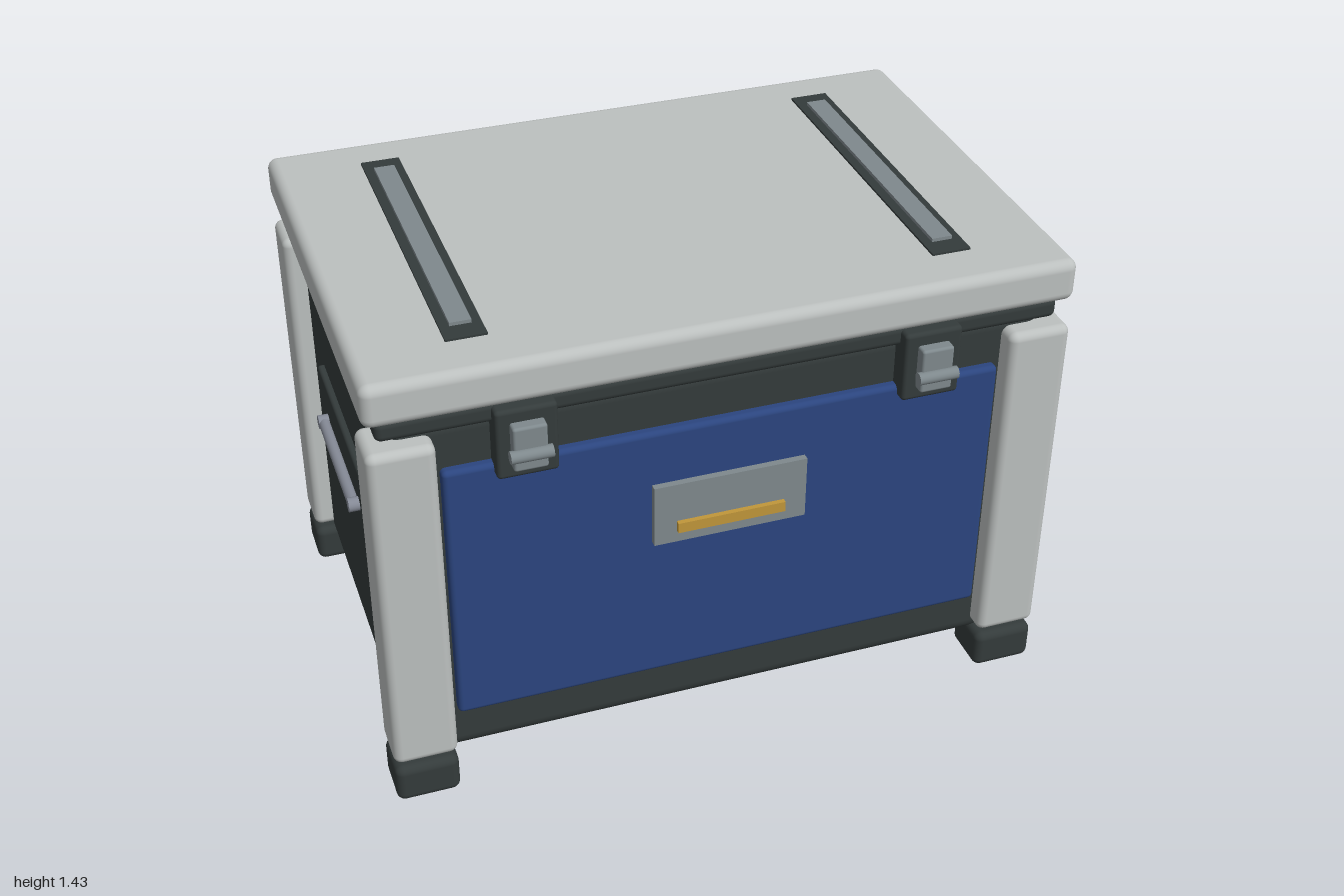
import * as THREE from 'three';
import { RoundedBoxGeometry } from 'three/addons/geometries/RoundedBoxGeometry.js';

const mat = (name, color) => {
  const m = new THREE.MeshStandardMaterial({ color });
  m.name = name;
  return m;
};

export function createModel() {
  const shell = mat('light grey shell', 0xbcc0bf);
  const dark = mat('charcoal', 0x343b3b);
  const blue = mat('blue panel', 0x2b457f);
  const steel = mat('steel', 0x7f898d);
  const handleGrey = mat('handle grey', 0x858a96);
  const gold = mat('gold', 0xc0963a);

  const chest = new THREE.Group();
  chest.name = 'storageChest';
  const zc = -0.027; // the case sits slightly back because the latches stick out in front

  const add = (name, geometry, material, x, y, z, parent = chest) => {
    const mesh = new THREE.Mesh(geometry, material);
    mesh.name = name;
    mesh.position.set(x, y, z);
    parent.add(mesh);
    return mesh;
  };
  // Box given by its extents, with rounded edges when r > 0
  const box = (name, material, [x0, x1], [y0, y1], [z0, z1], r = 0, parent = chest) => {
    const size = [x1 - x0, y1 - y0, z1 - z0];
    const geometry = r ? new RoundedBoxGeometry(...size, 4, r) : new THREE.BoxGeometry(...size);
    return add(name, geometry, material, (x0 + x1) / 2, (y0 + y1) / 2, (z0 + z1) / 2, parent);
  };

  // Case, gasket and lid
  box('body', dark, [-0.94, 0.94], [0.1, 1.25], [zc - 0.608, zc + 0.608], 0.05);
  box('gasket', dark, [-0.965, 0.965], [1.225, 1.287], [zc - 0.635, zc + 0.635], 0.02);
  box('lidCore', dark, [-0.92, 0.92], [1.26, 1.32], [zc - 0.59, zc + 0.59]);
  box('lid', shell, [-1, 1], [1.29, 1.418], [zc - 0.668, zc + 0.668], 0.03);

  // Corner posts and feet
  for (const sx of [-1, 1]) for (const sz of [-1, 1]) {
    const x = sx * 0.907, z = zc + sz * 0.588;
    add('cornerPost', new RoundedBoxGeometry(0.186, 1.065, 0.16, 4, 0.025), shell, x, 0.677, z);
    add('foot', new RoundedBoxGeometry(0.186, 0.124, 0.16, 4, 0.025), dark, x, 0.064, z);
  }

  // Front and back panels
  box('frontPanel', blue, [-0.8, 0.8], [0.26, 1.097], [0.56, 0.61], 0.015);
  box('backPanel', blue, [-0.8, 0.8], [0.26, 1.097], [2 * zc - 0.61, 2 * zc - 0.56], 0.015);

  // Name plate with gold bar
  box('namePlate', steel, [-0.225, 0.222], [0.733, 0.927], [0.6, 0.63]);
  box('goldBar', gold, [-0.16, 0.156], [0.772, 0.804], [0.62, 0.645]);

  for (const s of [-1, 1]) {
    // Lid runners
    const rx = s * 0.685;
    box('runnerBase', dark, [rx - 0.057, rx + 0.057], [1.41, 1.424], [-0.55, 0.487]);
    box('runnerStrip', steel, [rx - 0.03, rx + 0.03], [1.415, 1.434], [-0.488, 0.425]);

    // Front latches
    const latch = new THREE.Group();
    latch.name = 'latch';
    latch.position.x = s * 0.575;
    chest.add(latch);
    box('latchPlate', dark, [-0.085, 0.085], [1.065, 1.278], [0.57, 0.643], 0.012, latch);
    box('latchTab', steel, [-0.047, 0.047], [1.105, 1.24], [0.635, 0.676], 0.008, latch);
    add('latchBar', new THREE.CylinderGeometry(0.018, 0.018, 0.116, 20), steel,
      0, 1.157, 0.678, latch).rotation.z = Math.PI / 2;

    // Side handles
    const side = new THREE.Group();
    side.name = 'sideHandle';
    chest.add(side);
    const px = s * 0.94;
    add('handlePlate', new RoundedBoxGeometry(0.04, 0.3, 0.684, 4, 0.01), dark, px, 0.72, zc, side);
    add('handleBar', new THREE.CylinderGeometry(0.017, 0.017, 0.45, 20), handleGrey,
      s * 0.975, 0.747, zc, side).rotation.x = Math.PI / 2;
    for (const e of [-1, 1]) {
      add('handleMount', new THREE.CylinderGeometry(0.021, 0.021, 0.045, 20), handleGrey,
        s * 0.969, 0.747, zc + e * 0.218, side).rotation.z = Math.PI / 2;
    }
  }
  return chest;
}
